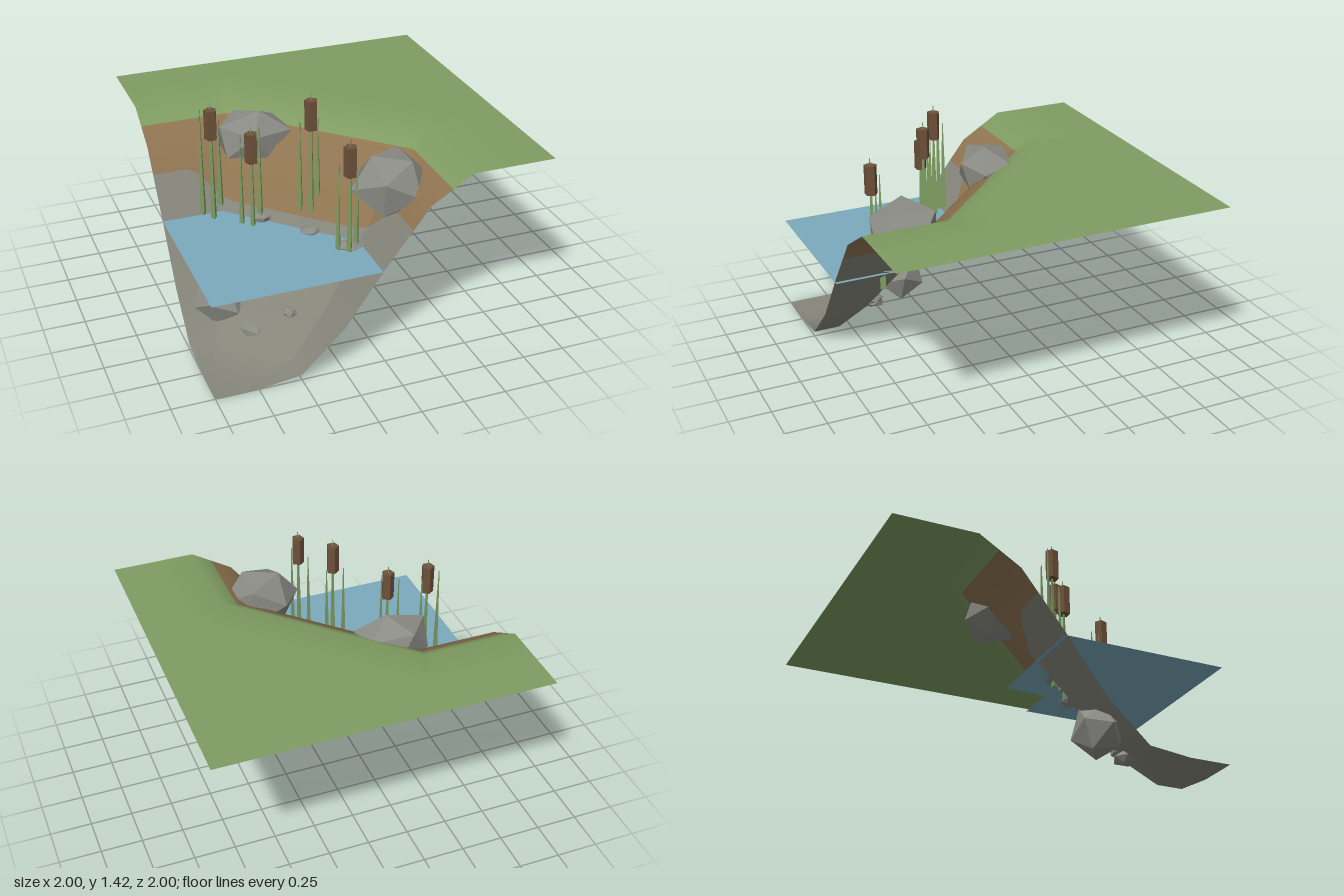
import * as THREE from 'three';

const mat = (name, color, side = THREE.FrontSide) => {
  const m = new THREE.MeshStandardMaterial({ color, side });
  m.name = name;
  return m;
};

// Height of the bank by distance d outwards from the waterline corner
const PROFILE = [[-2, 0], [-0.75, 0], [-0.5, 0.03], [-0.25, 0.27], [0, 0.62], [0.25, 0.945], [0.5, 1.1], [2, 1.1]];
function height(d) {
  const i = PROFILE.findIndex((p) => p[0] >= d);
  if (i < 1) return 0;
  const [a, b] = [PROFILE[i - 1], PROFILE[i]];
  return a[1] + ((d - a[0]) / (b[0] - a[0])) * (b[1] - a[1]);
}

// Point on the contour at distance d: straight, chamfered corner, straight (s runs 0..3)
function contour(d, s) {
  const c = 0.63 - 0.414 * d;
  const pts = [[-1, -d], [-c, -d], [d, c], [d, 1]];
  const i = Math.min(2, Math.floor(s)), t = s - i;
  return [0, 1].map((k) => pts[i][k] + (pts[i + 1][k] - pts[i][k]) * t);
}

// The upper edge of the mud dips towards the water round the bend
function mudEdge(s) {
  const u = Math.min(s, 3 - s);
  return 0.02 + 0.13 * (1 - THREE.MathUtils.smoothstep(u, 0.45, 1.1));
}

function buildTerrain(materials) {
  const N = 36, W = N + 1;
  const rows = [null, -0.75, -0.5, -0.25, 0, 'mud', 0.25, 0.38, 0.5, 0.75, 1];
  const pos = [], idx = [];
  rows.forEach((row, r) => {
    for (let j = 0; j <= N; j++) {
      const s = (j / N) * 3;
      if (row === null) { pos.push(-1, 0, 1); continue; }
      const d = row === 'mud' ? mudEdge(s) : row;
      let [x, z] = contour(d, s);
      if (r === rows.length - 1 && s > 1 && s < 2) { // fill out the square far corner
        const c = 0.216;
        if (s <= 1.5) { x = -c + (1 + c) * (s - 1) * 2; z = -1; }
        else { x = 1; z = -1 + (1 + c) * (s - 1.5) * 2; }
      }
      pos.push(x, height(d), z);
    }
  });
  for (let r = 0; r < rows.length - 1; r++) {
    for (let j = 0; j < N; j++) {
      const a = r * W + j, b = a + W;
      idx.push(a, a + 1, b, a + 1, b + 1, b);
    }
  }
  const g = new THREE.BufferGeometry();
  g.setAttribute('position', new THREE.Float32BufferAttribute(pos, 3));
  g.setIndex(idx);
  g.computeVertexNormals();
  const per = N * 6;
  g.addGroup(0, 5 * per, 0);        // mud
  g.addGroup(5 * per, 2 * per, 1);  // earth
  g.addGroup(7 * per, 3 * per, 2);  // grass
  return new THREE.Mesh(g, materials);
}

// Irregular faceted stone fitted to a given centre and size
function buildRock(name, center, size, seed, material) {
  const g = new THREE.IcosahedronGeometry(1, 0);
  g.rotateY(seed * 1.3);
  g.rotateX(seed * 0.7);
  const p = g.attributes.position, v = new THREE.Vector3();
  for (let i = 0; i < p.count; i++) {
    v.fromBufferAttribute(p, i);
    v.multiplyScalar(1 + 0.1 * Math.sin(v.x * 5 + v.y * 7 + v.z * 3 + seed));
    p.setXYZ(i, v.x, v.y, v.z);
  }
  g.center();
  const b = g.boundingBox.getSize(new THREE.Vector3());
  g.computeBoundingBox();
  g.scale(size[0] / b.x, size[1] / b.y, size[2] / b.z);
  const flat = g.index ? g.toNonIndexed() : g;
  flat.computeVertexNormals();
  const m = new THREE.Mesh(flat, material);
  m.name = name;
  m.position.set(...center);
  return m;
}

export function createModel() {
  const model = new THREE.Group();
  const mud = mat('mud', 0x85857a, THREE.DoubleSide);
  const earth = mat('earth', 0x8f7451, THREE.DoubleSide);
  const grass = mat('grass', 0x7f9c62, THREE.DoubleSide);
  const water = mat('water', 0x7aaabc, THREE.DoubleSide);
  const stone = mat('stone', 0x8a8b84);
  const reedGreen = mat('reedGreen', 0x7d9c60);
  const headBrown = mat('headBrown', 0x6e503a);

  const terrain = buildTerrain([mud, earth, grass]);
  terrain.name = 'riverBank';
  model.add(terrain);

  // Water sheet with a notched inner corner (shape y becomes -z)
  const outline = [[-1, 0], [-0.25, 0], [-0.25, 0.25], [0, 0.25], [0, 1], [-1, 1]];
  const sheet = new THREE.ShapeGeometry(new THREE.Shape(outline.map(([x, z]) => new THREE.Vector2(x, -z))));
  sheet.rotateX(-Math.PI / 2);
  const waterMesh = new THREE.Mesh(sheet, water);
  waterMesh.name = 'water';
  waterMesh.position.y = 0.59;
  model.add(waterMesh);

  // Boulders and pebbles: centre, size
  [
    ['boulder', [-0.39, 0.985, -0.145], [0.42, 0.31, 0.33]],
    ['boulder', [0.175, 0.93, 0.645], [0.5, 0.34, 0.39]],
    ['boulder', [-0.77, 0.18, 0.34], [0.34, 0.28, 0.28]],
    ['pebble', [-0.45, 0.61, 0.195], [0.13, 0.06, 0.11]],
    ['pebble', [-0.235, 0.59, 0.425], [0.12, 0.06, 0.13]],
    ['pebble', [-0.08, 0.595, 0.67], [0.15, 0.06, 0.13]],
    ['pebble', [-0.67, 0.395, 0.22], [0.12, 0.05, 0.09]],
    ['pebble', [-0.44, 0.21, 0.63], [0.08, 0.05, 0.11]],
    ['pebble', [-0.635, 0.095, 0.56], [0.15, 0.07, 0.15]],
  ].forEach(([n, c, s], i) => model.add(buildRock(n + (i + 1), c, s, i + 1, stone)));

  // Tapered three-sided blade standing from y0 to y1
  const blade = (name, x, z, y0, y1) => {
    const m = new THREE.Mesh(new THREE.CylinderGeometry(0.003, 0.021, y1 - y0, 3).toNonIndexed(), reedGreen);
    m.geometry.computeVertexNormals();
    m.name = name;
    m.position.set(x, (y0 + y1) / 2, z);
    return m;
  };

  // Cattail clumps: x, z, stem foot, head bottom, then side leaves [x, z, y0, y1]
  [
    [-0.705, 0.085, 0.56, 1.105, [[-0.755, 0.035, 0.6, 1.27], [-0.65, 0.045, 0.65, 1.22]]],
    [-0.52, 0.25, 0.45, 1.0, [[-0.57, 0.2, 0.48, 1.15], [-0.46, 0.21, 0.55, 1.2]]],
    [-0.2, 0.36, 0.64, 1.2, [[-0.25, 0.31, 0.62, 1.24], [-0.145, 0.32, 0.66, 1.24]]],
    [-0.11, 0.725, 0.5, 1.065, [[-0.16, 0.68, 0.47, 1.12], [-0.055, 0.69, 0.47, 1.2]]],
  ].forEach(([x, z, foot, headY, leaves], i) => {
    const clump = new THREE.Group();
    clump.name = 'cattailClump' + (i + 1);
    clump.add(blade('stem', x, z, foot, headY + 0.22));
    leaves.forEach((l) => clump.add(blade('leaf', ...l)));
    const hg = new THREE.CylinderGeometry(0.039, 0.039, 0.178, 5).toNonIndexed();
    hg.computeVertexNormals();
    const head = new THREE.Mesh(hg, headBrown);
    head.name = 'cattailHead';
    head.position.set(x, headY + 0.089, z);
    head.rotation.y = Math.PI;
    clump.add(head);
    model.add(clump);
  });

  return model;
}
